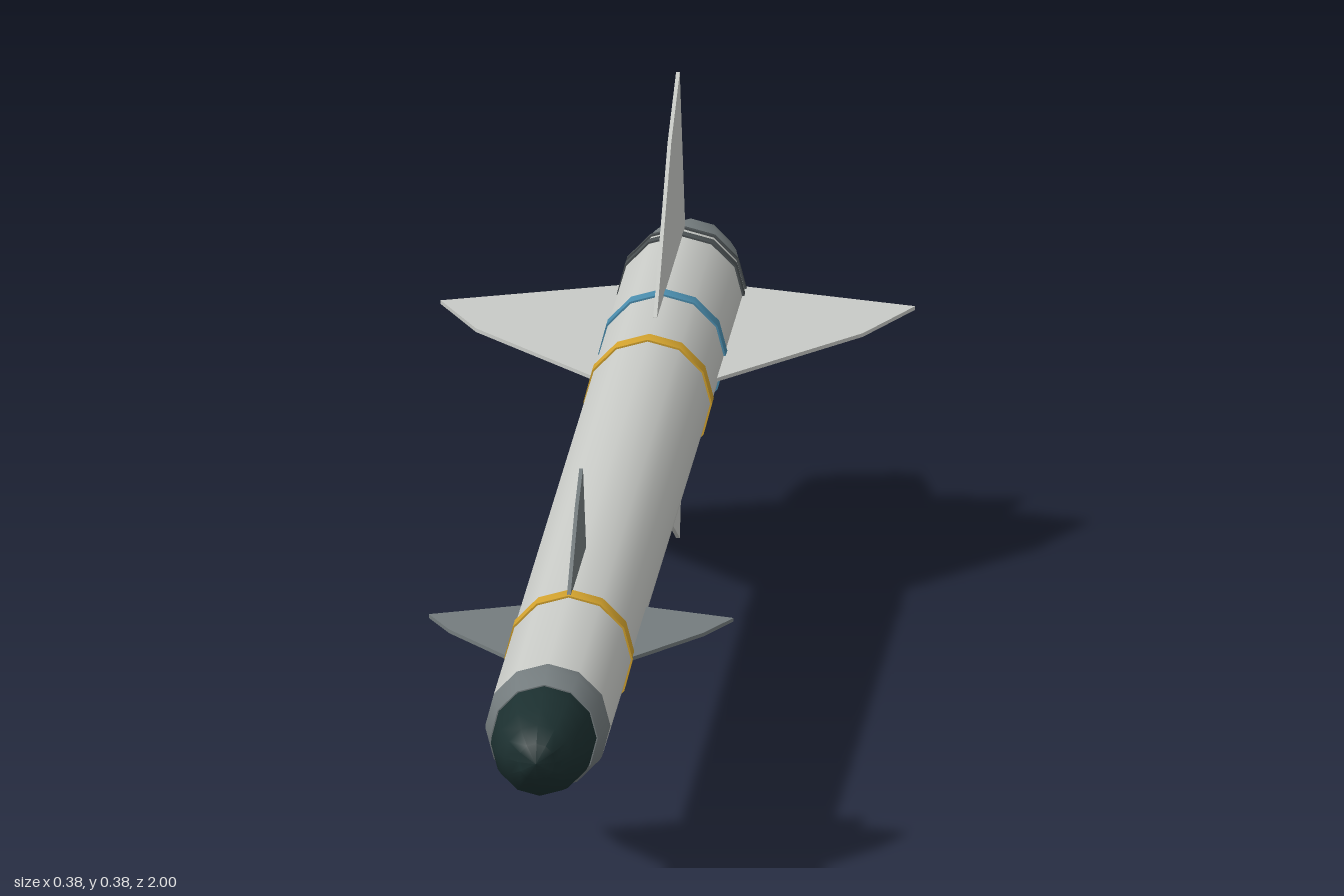
import * as THREE from 'three';
import { toCreasedNormals } from 'three/addons/utils/BufferGeometryUtils.js';

const SIDES = 12, AXIS_Y = 0.19, R = 0.05;

function material(name, color) {
  const m = new THREE.MeshStandardMaterial({ color });
  m.name = name;
  return m;
}

export function createModel() {
  const white = material('paleGrey', 0xc8cac6);
  const grey = material('midGrey', 0x747c7e);
  const dark = material('darkGlass', 0x1c3030);
  const yellow = material('yellow', 0xd2a22e);
  const blue = material('blue', 0x4a8cac);
  const charcoal = material('charcoal', 0x4a5052);

  const model = new THREE.Group();
  model.name = 'missile';
  const axis = new THREE.Group();
  axis.name = 'airframe';
  axis.position.y = AXIS_Y;
  model.add(axis);

  // Turned part along z; profile is [radius, z] running from back to front
  function turned(name, profile, mat) {
    const pts = profile.map(([r, z]) => new THREE.Vector2(r, z));
    const geo = new THREE.LatheGeometry(pts, SIDES).rotateX(Math.PI / 2);
    const mesh = new THREE.Mesh(toCreasedNormals(geo, 0.75), mat);
    mesh.name = name;
    axis.add(mesh);
  }

  // Body tube, seeker collar and rounded nose
  turned('body', [[0, -0.9], [R, -0.9], [R, 0.843], [0, 0.843]], white);
  turned('noseCollar', [[R, 0.843], [0.049, 0.86], [0.043, 0.893], [0, 0.893]], grey);
  turned('nose', [[0.042, 0.892], [0.041, 0.92], [0.036, 0.95], [0.027, 0.975],
    [0.015, 0.992], [0, 1]], dark);

  // Tail cone with a recessed nozzle
  turned('tailCone', [[0.027, -0.96], [0.029, -1], [0.037, -1], [0.046, -0.945],
    [R, -0.9]], grey);
  turned('nozzleFloor', [[0, -0.96], [0.028, -0.96]], grey);

  // Painted bands
  const bands = [
    ['frontYellowBand', 0.566, 0.026, yellow],
    ['rearYellowBand', -0.456, 0.024, yellow],
    ['blueBand', -0.638, 0.022, blue],
    ['tailBand', -0.873, 0.014, charcoal],
    ['tailSeam', -0.897, 0.006, charcoal],
  ];
  for (const [name, z, w, mat] of bands) {
    const r = R + 0.0015;
    turned(name, [[R - 0.002, z - w / 2], [r, z - w / 2], [r, z + w / 2], [R - 0.002, z + w / 2]], mat);
  }

  // Four thin fins around the axis; outline is [z, radius]
  function finSet(name, outline, mat) {
    const t = 0.003;
    const shape = new THREE.Shape(outline.map(([z, r]) => new THREE.Vector2(z, r)));
    const geo = new THREE.ExtrudeGeometry(shape, { depth: t, bevelEnabled: false });
    geo.translate(0, 0, -t / 2).rotateY(-Math.PI / 2);
    const set = new THREE.Group();
    set.name = name + 's';
    for (let i = 0; i < 4; i++) {
      const fin = new THREE.Mesh(geo, mat);
      fin.name = name;
      fin.rotation.z = i * Math.PI / 2;
      set.add(fin);
    }
    axis.add(set);
  }
  finSet('frontFin', [[0.575, 0.04], [0.575, 0.051], [0.475, 0.102], [0.415, 0.122],
    [0.375, 0.05], [0.375, 0.04]], grey);
  finSet('tailFin', [[-0.54, 0.04], [-0.54, 0.05], [-0.725, 0.155], [-0.835, 0.19],
    [-0.905, 0.05], [-0.905, 0.04]], white);

  return model;
}
